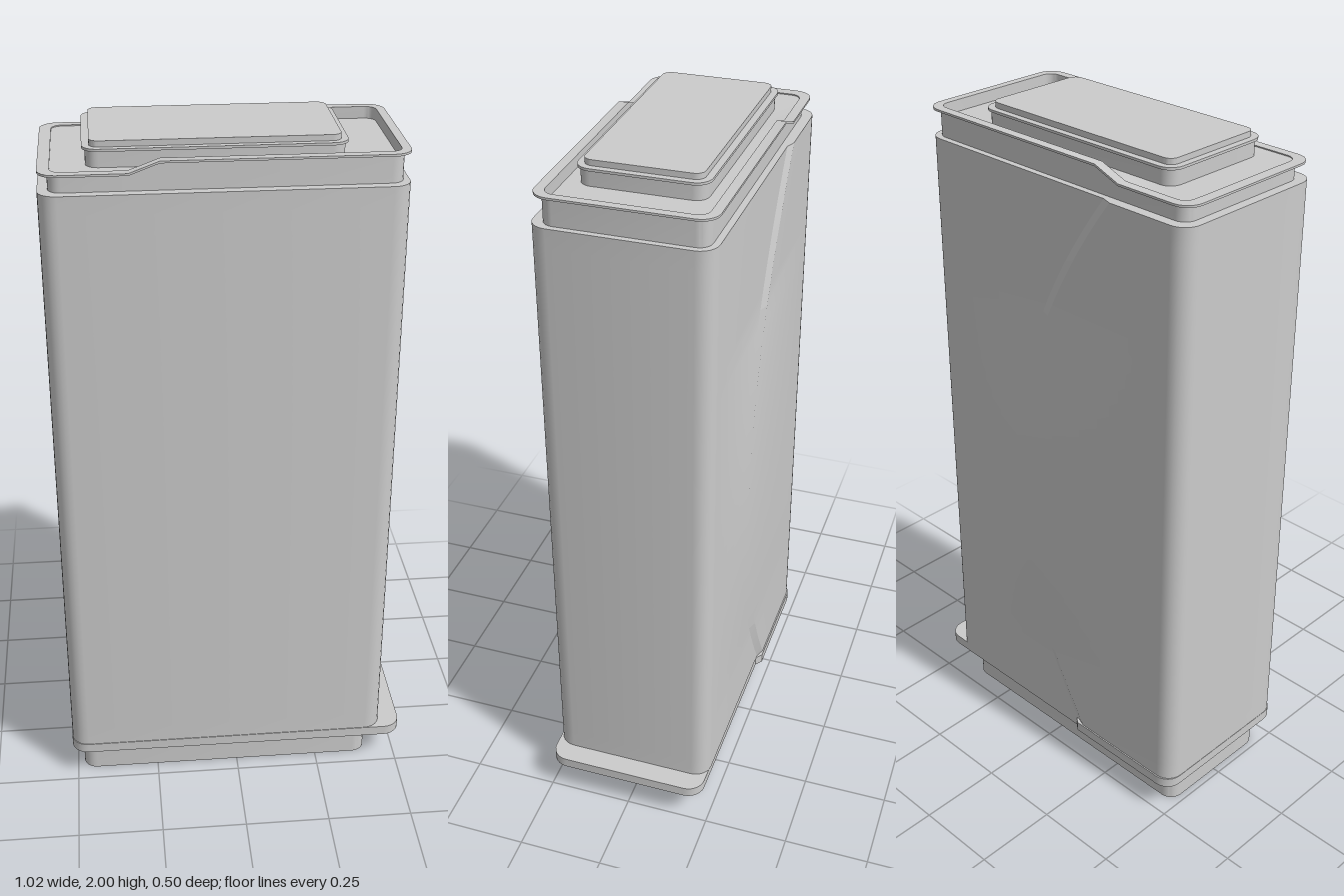
import * as THREE from 'three';
import { toCreasedNormals } from 'three/addons/utils/BufferGeometryUtils.js';

const material = new THREE.MeshStandardMaterial({ color: 0xcccccc, side: THREE.DoubleSide });

// Rounded rectangle in plan, front edge first; extra [x, z] points may sit on the long edges.
function outline(x0, x1, z0, z1, r, { front = [], back = [], zBackLeft = z0 } = {}) {
  const pts = [];
  const corner = (cx, cz, start) => {
    for (let i = 0; i <= 6; i++) {
      const a = start - (i / 6) * Math.PI / 2;
      pts.push([cx + r * Math.cos(a), cz + r * Math.sin(a)]);
    }
  };
  pts.push(...front);
  corner(x1 - r, z1 - r, Math.PI / 2);
  corner(x1 - r, z0 + r, 0);
  pts.push(...back);
  corner(x0 + r, zBackLeft + r, -Math.PI / 2);
  corner(x0 + r, z1 - r, Math.PI);
  return pts;
}

// Skin a list of sections { pts, y }, where y is a height or a rule of x.
function loft(name, sections, capStart, capEnd) {
  const pos = [], idx = [], n = sections[0].pts.length;
  for (const { pts, y } of sections)
    for (const [x, z] of pts) pos.push(x, typeof y === 'function' ? y(x) : y, z);
  for (let s = 0; s < sections.length - 1; s++)
    for (let i = 0; i < n; i++) {
      const a = s * n + i, b = s * n + (i + 1) % n;
      idx.push(a, b, b + n, a, b + n, a + n);
    }
  const cap = (s, up) => {
    const c = pos.length / 3, m = [0, 0, 0];
    for (let i = 0; i < n; i++) for (let k = 0; k < 3; k++) m[k] += pos[(s * n + i) * 3 + k] / n;
    pos.push(...m);
    for (let i = 0; i < n; i++) {
      const a = s * n + i, b = s * n + (i + 1) % n;
      idx.push(c, up ? a : b, up ? b : a);
    }
  };
  if (capStart) cap(0, false);
  if (capEnd) cap(sections.length - 1, true);
  const geo = new THREE.BufferGeometry();
  geo.setAttribute('position', new THREE.Float32BufferAttribute(pos, 3));
  geo.setIndex(idx);
  const mesh = new THREE.Mesh(toCreasedNormals(geo, 0.38), material);
  mesh.name = name;
  return mesh;
}

export function createModel() {
  const group = new THREE.Group();

  // Hollow foot, open underneath
  const footOut = outline(-0.48, 0.41, -0.195, 0.2, 0.04);
  const footIn = outline(-0.472, 0.402, -0.187, 0.192, 0.032);
  group.add(loft('foot', [
    { pts: footIn, y: 0.1 }, { pts: footIn, y: 0 },
    { pts: footOut, y: 0 }, { pts: footOut, y: 0.102 },
  ], true, false));

  // Base flange, slightly deeper behind on one side
  const flange = outline(-0.513, 0.51, -0.232, 0.247, 0.05,
    { back: [[-0.11, -0.234], [-0.13, -0.25]], zBackLeft: -0.25 });
  group.add(loft('baseFlange', [{ pts: flange, y: 0.1 }, { pts: flange, y: 0.13 }], true, true));

  // Body, with a curved raised panel on the back
  const body = [];
  for (let i = 0; i <= 32; i++) {
    const t = i / 32;
    const x = -0.12 - 0.11 * t + 1.2 * t * (1 - t);
    body.push({
      y: 0.13 + 1.755 * t,
      pts: outline(-0.512, 0.447, -0.235, 0.245, 0.05,
        { back: [[x, -0.235], [x - 0.03, -0.246]], zBackLeft: -0.246 }),
    });
  }
  group.add(loft('body', body, true, true));

  // Neck with a stepped thin rim around a shallow tray
  const rimY = (x) => 1.937 + 0.03 * THREE.MathUtils.clamp((x + 0.28) / 0.08, 0, 1);
  const ring = (x0, x1, z, r) => outline(x0, x1, -z, z, r,
    { front: [[-0.28, z], [-0.2, z]], back: [[-0.2, -z], [-0.28, -z]] });
  const neck = ring(-0.485, 0.43, 0.217, 0.035);
  const rim = ring(-0.51, 0.447, 0.237, 0.05);
  const tray = ring(-0.478, 0.423, 0.21, 0.03);
  group.add(loft('neckAndRim', [
    { pts: neck, y: 1.885 },
    { pts: neck, y: (x) => rimY(x) - 0.006 },
    { pts: rim, y: (x) => rimY(x) - 0.006 },
    { pts: rim, y: rimY },
    { pts: tray, y: rimY },
    { pts: tray, y: 1.934 },
  ], false, true));

  // Raised plug with a thin lip and smaller top
  const plug = outline(-0.387, 0.283, -0.163, 0.173, 0.035);
  const lip = outline(-0.395, 0.291, -0.171, 0.18, 0.042);
  const top = outline(-0.376, 0.272, -0.152, 0.162, 0.025);
  group.add(loft('plug', [
    { pts: plug, y: 1.93 }, { pts: plug, y: 1.977 },
    { pts: lip, y: 1.977 }, { pts: lip, y: 1.984 },
    { pts: top, y: 1.984 }, { pts: top, y: 2 },
  ], false, true));

  return group;
}
